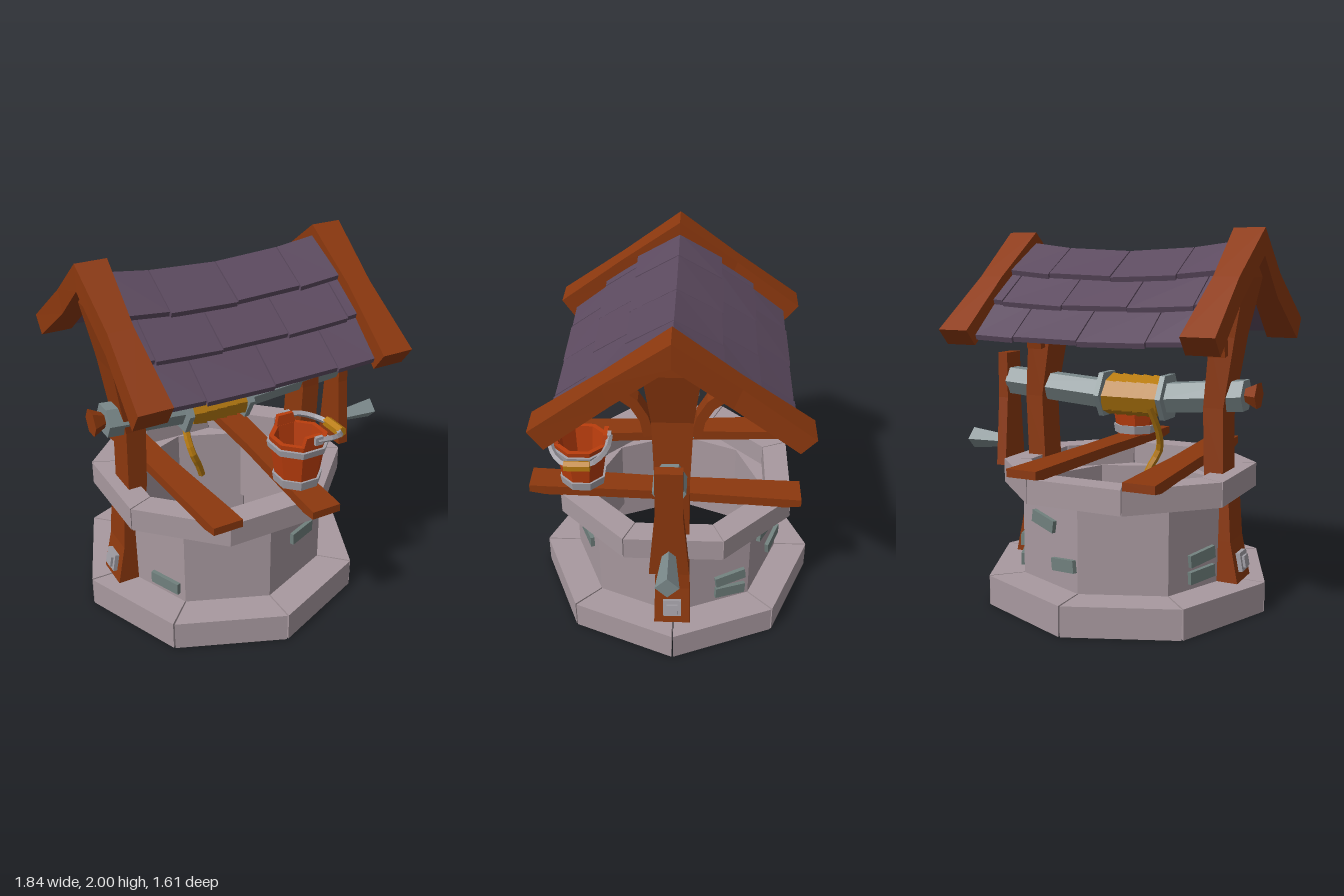
import * as THREE from 'three';

const mat = (name, color) => Object.assign(new THREE.MeshStandardMaterial({ color }), { name });

export function createModel() {
  const M = {
    stone: mat('pale stone', 0xa8999f), accent: mat('green grey stone', 0x70807d),
    wood: mat('brown wood', 0x8c380e), tile: mat('purple tile', 0x5c4a5f),
    metal: mat('blue grey metal', 0x7d8b8d), band: mat('light metal', 0xa3a0a7),
    rope: mat('golden rope', 0xb97c0f), bucket: mat('orange wood', 0xba3d0d),
  };
  const model = new THREE.Group();
  model.name = 'well';
  const group = (name) => { const g = new THREE.Group(); g.name = name; model.add(g); return g; };
  const add = (parent, name, geo, material) => {
    const g = geo.index ? geo.toNonIndexed() : geo;
    g.computeVertexNormals();
    const m = new THREE.Mesh(g, material);
    m.name = name;
    parent.add(m);
    return m;
  };

  // Solid skin through rings of [x, y, z] points, oriented outward
  const loft = (rings) => {
    const n = rings[0].length, last = rings.length - 1, tris = [];
    for (let i = 0; i < last; i++) for (let j = 0; j < n; j++) {
      const a = rings[i][j], b = rings[i][(j + 1) % n], c = rings[i + 1][(j + 1) % n], d = rings[i + 1][j];
      tris.push([a, b, c], [a, c, d]);
    }
    for (let j = 1; j < n - 1; j++) {
      tris.push([rings[0][0], rings[0][j + 1], rings[0][j]], [rings[last][0], rings[last][j], rings[last][j + 1]]);
    }
    const V = (p) => new THREE.Vector3(...p);
    const volume = tris.reduce((s, [a, b, c]) => s + V(a).dot(V(b).cross(V(c))), 0);
    if (volume < 0) tris.forEach((t) => t.reverse());
    const g = new THREE.BufferGeometry();
    g.setAttribute('position', new THREE.Float32BufferAttribute(tris.flat(2), 3));
    return g;
  };
  // Horizontal rectangle section at height y
  const rect = (y, x0, x1, z0, z1) => [[x0, y, z0], [x1, y, z0], [x1, y, z1], [x0, y, z1]];
  // Polygon section across the x axis
  const disc = (x, y, r, n = 6, lean = 0) => Array.from({ length: n }, (_, i) => {
    const a = i / n * Math.PI * 2;
    return [x + Math.sin(a) * r * lean, y + Math.sin(a) * r, Math.cos(a) * r];
  });

  // Masonry: three octagonal courses
  const CX = -0.125, CZ = -0.015;
  const course = (name, y0, y1, R, r, turn, gap) => {
    const g = group(name);
    for (let i = 0; i < 8; i++) {
      const a = turn + i * Math.PI / 4, b = a + Math.PI / 4;
      const at = (rad, p, q, y) => [
        CX + rad * (Math.sin(p) * (1 - gap) + Math.sin(q) * gap), y,
        CZ + rad * (Math.cos(p) * (1 - gap) + Math.cos(q) * gap)];
      const ring = (y) => [at(R, a, b, y), at(R, b, a, y), at(r, b, a, y), at(r, a, b, y)];
      add(g, name + 'Block', loft([ring(y0), ring(y1)]), M.stone);
    }
  };
  course('baseRing', 0, 0.16, 0.795, 0.58, 0, 0.008);
  course('wall', 0.16, 0.61, 0.6, 0.5, 0, 0);
  course('rimRing', 0.61, 0.74, 0.7, 0.55, Math.PI / 8, 0.006);

  // Stones standing proud of the wall: face angle, offset, height, width, tilt
  const accents = group('accentStones');
  for (const [deg, off, y, w, tilt] of [
    [22.5, 0.04, 0.437, 0.18, 0], [-67.5, 0.1, 0.235, 0.19, 0],
    [112.5, 0.11, 0.325, 0.18, 0.13], [112.5, 0.11, 0.23, 0.18, -0.06],
    [157.5, -0.035, 0.49, 0.18, -0.17], [157.5, 0.13, 0.29, 0.18, 0.14],
    [-112.5, 0, 0.325, 0.18, 0.13], [-112.5, 0, 0.23, 0.18, 0.06]]) {
    const f = deg * Math.PI / 180, d = 0.557;
    const s = add(accents, 'accentStone', new THREE.BoxGeometry(w, 0.066, 0.04), M.accent);
    s.position.set(CX + Math.sin(f) * d + Math.cos(f) * off, y, CZ + Math.cos(f) * d - Math.sin(f) * off);
    s.rotation.set(0, f, tilt);
  }

  // Crooked posts: y, x range, z half depth
  const posts = {
    leftSide: [[0.16, 0.40, 0.555, 0.1], [0.38, 0.38, 0.51, 0.095], [0.62, 0.37, 0.485, 0.09], [0.74, 0.365, 0.472, 0.09],
      [1.08, 0.38, 0.485, 0.09], [1.45, 0.315, 0.455, 0.105], [1.75, 0.36, 0.52, 0.14], [1.81, 0.36, 0.52, 0.075]],
    rightSide: [[0.16, -0.8, -0.65, 0.1], [0.38, -0.755, -0.63, 0.095], [0.62, -0.738, -0.62, 0.09], [0.74, -0.705, -0.6, 0.09],
      [1.08, -0.7, -0.59, 0.09], [1.45, -0.76, -0.625, 0.105], [1.75, -0.82, -0.67, 0.14], [1.81, -0.82, -0.67, 0.075]],
  };
  for (const [side, rows] of Object.entries(posts)) {
    const g = group(side + 'Post');
    add(g, 'post', loft(rows.map(([y, a, b, h]) => rect(y, a, b, -0.01 - h, -0.01 + h))), M.wood);
    const left = side === 'leftSide', s = left ? 1 : -1;
    // Square bolt plate at the foot
    for (const [size, out] of [[0.1, 0], [0.06, 0.014]]) {
      const p = add(g, 'boltPlate', new THREE.BoxGeometry(0.026, size, size), M.band);
      p.position.set((left ? 0.54 : -0.79) + s * out, 0.262, -0.01);
      p.rotation.z = s * 0.18;
    }
    // Curved braces up to the roof
    const brace = new THREE.Shape();
    brace.moveTo(0.09, 1.36);
    brace.lineTo(0.145, 1.35);
    brace.quadraticCurveTo(0.15, 1.56, 0.38, 1.62);
    brace.lineTo(0.33, 1.655);
    brace.quadraticCurveTo(0.13, 1.62, 0.09, 1.36);
    for (const dir of [-1, 1]) {
      const b = add(g, 'brace', new THREE.ExtrudeGeometry(brace, { depth: 0.09, bevelEnabled: false, curveSegments: 4 })
        .translate(0, 0, -0.045), M.wood);
      b.rotation.y = dir * Math.PI / 2;
      b.position.set(left ? 0.395 : -0.68, 0, -0.01);
    }
  }

  // Gable boards, waisted halfway down each slope: z, top y, under z, under y, half width
  const gable = [[0.68, 1.51, 0.605, 1.4, 0.088], [0.32, 1.765, 0.28, 1.64, 0.067], [-0.01, 2, -0.01, 1.86, 0.084],
    [-0.34, 1.76, -0.3, 1.64, 0.067], [-0.705, 1.495, -0.63, 1.405, 0.086]];
  for (const [name, x, dy] of [['rightGableBoard', -0.79, 0], ['leftGableBoard', 0.545, -0.01]]) {
    add(model, name, loft(gable.map(([z, y, uz, uy, h]) => [
      [x - h, y + dy, z], [x + h, y + dy, z], [x + h, uy, uz], [x - h, uy, uz]])), M.wood);
  }

  // Sagging roof: three overlapping rows of tiles on each slope
  const roof = group('roof');
  const rows = [[0, 1.885, 0.24, 1.755], [0.2, 1.745, 0.425, 1.607], [0.39, 1.6, 0.608, 1.45]];
  const cuts = [[-0.725, -0.495, -0.125, 0.24, 0.475], [-0.725, -0.665, -0.31, 0.06, 0.415, 0.475]];
  for (const s of [1, -1]) rows.forEach(([z0, y0, z1, y1], r) => {
    const xs = cuts[r % 2];
    for (let i = 0; i < xs.length - 1; i++) {
      const drop = (i % 2) * 0.006;
      const edge = (x) => {
        const q = ((x + 0.125) / 0.585) ** 2, sag = (z) => q * (0.045 - 0.05 * z);
        const p = (z, y, t) => [x, y + sag(z) - t, -0.01 + s * z];
        return [p(z0, y0, 0), p(z1 + drop, y1 - drop, 0), p(z1 + drop - 0.008, y1 - drop, 0.026), p(z0, y0, 0.026)];
      };
      add(roof, 'roofTile', loft([edge(xs[i] + 0.003), edge(xs[i + 1] - 0.003)]), M.tile);
    }
  });

  // Windlass: sagging axle, collars, plug, wound rope
  const windlass = group('windlass');
  add(windlass, 'axle', loft([disc(-0.79, 1.145, 0.092), disc(-0.33, 1.105, 0.09),
    disc(0.03, 1.105, 0.088), disc(0.635, 1.148, 0.086)]), M.metal);
  for (const x of [-0.345, 0.02]) {
    add(windlass, 'collar', loft([disc(x - 0.015, 1.108, 0.138), disc(x + 0.015, 1.108, 0.138)]), M.metal);
  }
  add(windlass, 'axlePlug', loft([disc(-0.858, 1.148, 0.075), disc(-0.78, 1.148, 0.035)]), M.wood);
  for (let i = 0; i < 5; i++) {
    const x = -0.285 + i * 0.062, lean = -0.16;
    add(windlass, 'ropeCoil', loft([disc(x - 0.036, 1.106, 0.108, 8, lean), disc(x + 0.036, 1.106, 0.118, 8, lean)]), M.rope);
  }
  const curve = (pts) => new THREE.CatmullRomCurve3(pts.map((p) => new THREE.Vector3(...p)));
  add(windlass, 'hangingRope', new THREE.TubeGeometry(curve([[-0.285, 1.06, -0.1], [-0.305, 0.91, -0.02],
    [-0.292, 0.81, 0.02], [-0.25, 0.72, 0], [-0.22, 0.64, -0.02]]), 10, 0.021, 6), M.rope);

  // Crank arm and flared handle
  add(windlass, 'crankArm', loft([rect(0.655, 0.63, 0.69, -0.105, 0.105), rect(1.05, 0.63, 0.69, -0.07, 0.07),
    rect(1.31, 0.63, 0.69, -0.07, 0.07)]), M.wood);
  add(windlass, 'crankHandle', loft([disc(0.685, 0.78, 0.036, 4), disc(0.92, 0.78, 0.062, 4)]), M.metal);

  // Planks laid across the rim: back x, back z, front x, front z
  for (const [bx, bz, fx, fz] of [[-0.51, -0.715, -0.432, 0.685], [0.145, -0.71, 0.068, 0.805]]) {
    const end = (x, z, w, y0) => [[x - w, y0, z], [x + w, y0, z], [x + w, 0.795, z], [x - w, 0.795, z]];
    add(model, 'plank', loft([end(bx, bz, 0.086, 0.752), end(bx * 0.94 + fx * 0.06, bz + 0.09, 0.084, 0.738),
      end((bx + fx) / 2, (bz + fz) / 2, 0.07, 0.738), end(fx * 0.94 + bx * 0.06, fz - 0.09, 0.082, 0.738),
      end(fx, fz, 0.082, 0.752)]), M.wood);
  }

  // Bucket with bands, ears and a folded handle
  const bucket = group('bucket');
  bucket.position.set(0.08, 0, 0.503);
  const lathe = (pts) => new THREE.LatheGeometry(pts.map((p) => new THREE.Vector2(...p)), 8, Math.PI / 8);
  add(bucket, 'bucketBody', lathe([[0, 0.795], [0.112, 0.795], [0.155, 1.075], [0.128, 1.075], [0.1, 0.83], [0, 0.83]]), M.bucket);
  const hoop = (y0, y1, r0, r1) => add(bucket, 'hoop',
    lathe([[r0, y0], [r1, y1], [r1 - 0.025, y1], [r0 - 0.025, y0], [r0, y0]]), M.band);
  hoop(0.805, 0.855, 0.126, 0.134);
  hoop(1.012, 1.048, 0.16, 0.167);
  for (const s of [1, -1]) {
    add(bucket, 'ear', loft([rect(1.06, -0.06, 0.06, s * 0.118, s * 0.143), rect(1.13, -0.045, 0.045, s * 0.125, s * 0.15)]), M.bucket);
    const pin = add(bucket, 'handlePin', new THREE.BoxGeometry(0.045, 0.045, 0.02), M.band);
    pin.position.set(0.02, 1.108, s * 0.157);
  }
  add(bucket, 'handle', new THREE.TubeGeometry(curve([[0.01, 1.11, 0.158], [0.11, 1.095, 0.15], [0.2, 1.065, 0.09],
    [0.225, 1.055, 0], [0.2, 1.065, -0.09], [0.11, 1.095, -0.15], [0.01, 1.11, -0.158]]), 14, 0.017, 4), M.band);
  const grip = add(bucket, 'handleGrip', new THREE.CylinderGeometry(0.03, 0.03, 0.14, 6), M.rope);
  grip.rotation.x = Math.PI / 2;
  grip.position.set(0.225, 1.055, 0);

  return model;
}
